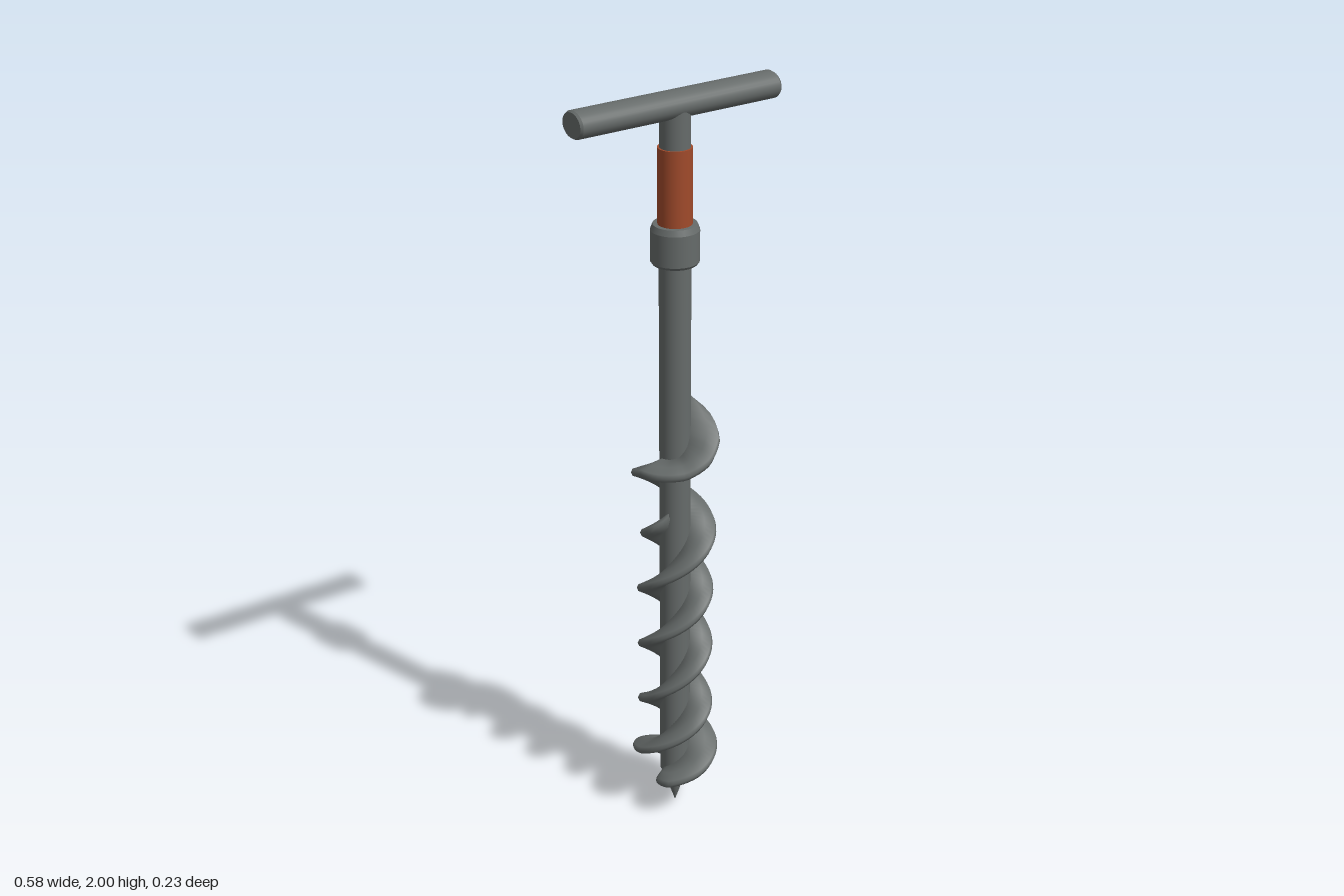
import * as THREE from 'three';

const steel = new THREE.MeshStandardMaterial({ color: 0x666b6a });
steel.name = 'steel grey';
const rust = new THREE.MeshStandardMaterial({ color: 0xa04a2b });
rust.name = 'rust orange';

// Piecewise linear lookup in a list of [t, y, radius] keys
function sample(keys, t) {
  let k = 0;
  while (k < keys.length - 2 && t > keys[k + 1][0]) k++;
  const [a, b] = [keys[k], keys[k + 1]];
  const f = (t - a[0]) / (b[0] - a[0]);
  return [a[1] + (b[1] - a[1]) * f, a[2] + (b[2] - a[2]) * f];
}

// Helical blade: a tapered section swept up around the shaft, t counted in turns
function bladeGeometry(keys) {
  const end = keys[keys.length - 1][0];
  const steps = Math.round(end * 48);
  const root = 0.03;
  const pos = [], index = [];
  for (let i = 0; i <= steps; i++) {
    const t = (end * i) / steps;
    const a = t * Math.PI * 2;
    const [y, r] = sample(keys, t);
    const mid = root + (r - root) * 0.6;
    const section = [
      [root, -0.026], [mid, -0.019], [r - 0.004, -0.01], [r, 0],
      [r - 0.004, 0.01], [mid, 0.019], [root, 0.026],
    ];
    for (const [s, h] of section) pos.push(-Math.cos(a) * s, y + h, Math.sin(a) * s);
  }
  const n = 7;
  for (let i = 0; i < steps; i++) {
    for (let j = 0; j < n; j++) {
      const k = (j + 1) % n;
      const a = i * n + j, b = a + n, c = (i + 1) * n + k, d = i * n + k;
      index.push(a, b, c, a, c, d);
    }
  }
  const g = new THREE.BufferGeometry();
  g.setAttribute('position', new THREE.Float32BufferAttribute(pos, 3));
  g.setIndex(index);
  g.computeVertexNormals();
  return g;
}

// Turned part with sharp edges: one open cylinder wall per profile segment
function turned(name, profile, material) {
  const group = new THREE.Group();
  group.name = name;
  for (let i = 0; i < profile.length - 1; i++) {
    const pts = [profile[i], profile[i + 1]].map(([r, y]) => new THREE.Vector2(r, y));
    const mesh = new THREE.Mesh(new THREE.LatheGeometry(pts, 28), material);
    mesh.name = name + 'Wall';
    group.add(mesh);
  }
  return group;
}

export function createModel() {
  const model = new THREE.Group();
  model.name = 'handAuger';

  // Pointed tip, shaft, coupling collar, painted sleeve and neck
  model.add(
    turned('tip', [[0, 0], [0.012, 0.035], [0.03, 0.1], [0.04, 0.11]], steel),
    turned('shaft', [[0.04, 0.11], [0.04, 1.58]], steel),
    turned('collar', [[0.038, 1.568], [0.056, 1.568], [0.061, 1.575], [0.061, 1.655], [0.055, 1.67], [0.03, 1.67]], steel),
    turned('sleeve', [[0.043, 1.66], [0.043, 1.862], [0.03, 1.862]], rust),
    turned('neck', [[0.038, 1.85], [0.038, 1.96]], steel),
  );

  // Crossbar handle, slightly flattened, with chamfered ends
  const handle = turned('handle', [
    [0, -0.289], [0.038, -0.289], [0.0425, -0.283], [0.0425, 0.283], [0.038, 0.289], [0, 0.289],
  ], steel);
  handle.rotation.z = Math.PI / 2;
  handle.scale.x = 0.8;
  handle.position.set(0, 1.966, -0.002);
  model.add(handle);

  // Two interleaved blades; the long one sweeps up into a lip at its top
  const lower = [
    [0, 0.1, 0.033], [0.04, 0.102, 0.08], [0.12, 0.115, 0.108], [0.25, 0.14, 0.113],
    [0.5, 0.2, 0.115], [0.75, 0.28, 0.107], [1, 0.355, 0.094], [1.5, 0.53, 0.1], [2, 0.695, 0.1],
  ];
  const long = new THREE.Mesh(bladeGeometry([
    ...lower, [2.5, 0.865, 0.108], [2.75, 0.95, 0.114], [2.92, 1.005, 0.112], [3, 1.025, 0.108],
    [3.1, 1.028, 0.105], [3.2, 1.035, 0.108], [3.3, 1.06, 0.114], [3.38, 1.1, 0.115],
    [3.43, 1.14, 0.1], [3.47, 1.175, 0.07], [3.5, 1.2, 0.033],
  ]), steel);
  long.name = 'longBlade';
  const short = new THREE.Mesh(bladeGeometry([
    ...lower, [2.3, 0.795, 0.1], [2.5, 0.855, 0.078], [2.62, 0.89, 0.033],
  ]), steel);
  short.name = 'shortBlade';
  short.rotation.y = Math.PI;
  model.add(long, short);
  return model;
}
